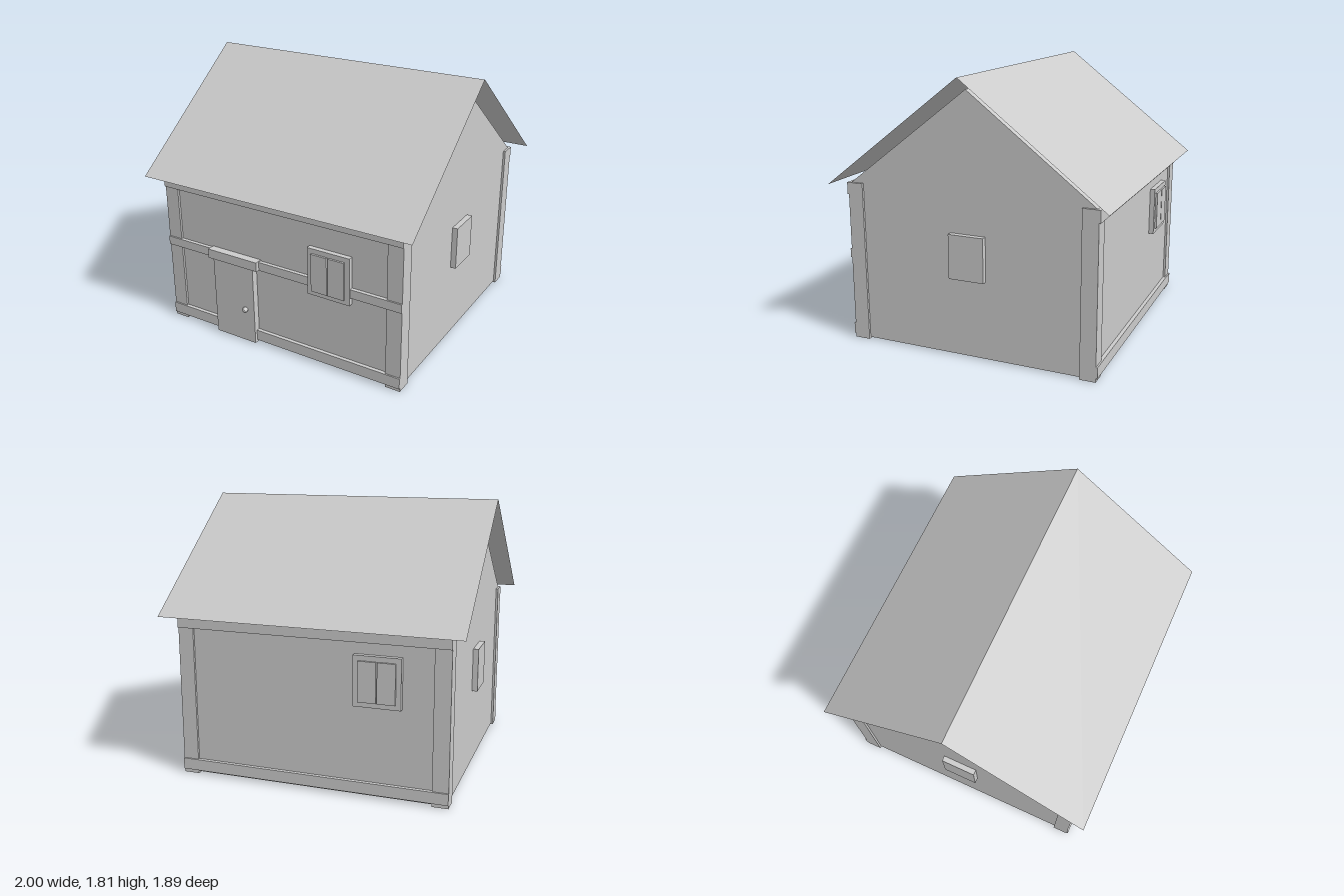
import * as THREE from 'three';

const material = new THREE.MeshStandardMaterial({ color: 0xcccccc, flatShading: true });
const sheetMaterial = new THREE.MeshStandardMaterial({ color: 0xcccccc, flatShading: true, side: THREE.DoubleSide });

// Box given by its limits on each axis
function block(name, [x0, x1], [y0, y1], [z0, z1]) {
  const mesh = new THREE.Mesh(new THREE.BoxGeometry(x1 - x0, y1 - y0, z1 - z0), material);
  mesh.name = name;
  mesh.position.set((x0 + x1) / 2, (y0 + y1) / 2, (z0 + z1) / 2);
  return mesh;
}

// Framed window with two raised shutters, facing +z
function shutteredWindow(name, x, y, z) {
  const win = new THREE.Group();
  win.name = name;
  win.add(block('windowFrame', [-0.153, 0.153], [-0.163, 0.163], [-0.02, 0.033]));
  for (const s of [-1, 1]) {
    const shutter = block('shutter', [-0.058, 0.058], [-0.13, 0.13], [0.03, 0.046]);
    shutter.position.x = s * 0.062;
    win.add(shutter);
  }
  win.position.set(x, y, z);
  return win;
}

export function createModel() {
  const house = new THREE.Group();
  house.name = 'house';
  const wallX = 0.89, wallZ = 0.84, postX = 0.905, postZ = 0.855;

  // Walls with gable ends, one pentagonal prism running along x
  const profile = new THREE.Shape([
    [-wallZ, 0.01], [wallZ, 0.01], [wallZ, 1.08], [0, 1.725], [-wallZ, 1.08],
  ].map(([a, b]) => new THREE.Vector2(a, b)));
  const wallGeometry = new THREE.ExtrudeGeometry(profile, { depth: wallX * 2, bevelEnabled: false });
  wallGeometry.translate(0, 0, -wallX).rotateY(Math.PI / 2);
  const walls = new THREE.Mesh(wallGeometry, material);
  walls.name = 'walls';
  house.add(walls);

  // Thin roof sheets, raised clear of the gables
  const eaveZ = 0.945, eaveY = 1.08, ridgeY = 1.807;
  const slope = Math.hypot(eaveZ, ridgeY - eaveY);
  const pitch = Math.atan2(ridgeY - eaveY, eaveZ);
  for (const s of [-1, 1]) {
    const sheet = new THREE.Mesh(new THREE.PlaneGeometry(2, slope).rotateX(-Math.PI / 2), sheetMaterial);
    sheet.name = s > 0 ? 'frontRoof' : 'backRoof';
    sheet.rotation.x = s * pitch;
    sheet.position.set(0, (eaveY + ridgeY) / 2, s * eaveZ / 2);
    house.add(sheet);
  }

  // Corner posts
  for (const sx of [-1, 1]) for (const sz of [-1, 1]) {
    const post = block('cornerPost', [-0.0525, 0.0525], [0, 1.08], [-0.0525, 0.0525]);
    post.position.x = sx * (postX - 0.0525);
    post.position.z = sz * (postZ - 0.0525);
    house.add(post);
  }

  // Horizontal beams on the long walls
  for (const s of [-1, 1]) {
    const zRange = s > 0 ? [0.82, 0.865] : [-0.865, -0.82];
    house.add(block('bottomBeam', [-postX, postX], [0.025, 0.1], zRange));
    house.add(block('topBeam', [-postX, postX], [1.0, 1.08], zRange));
  }
  house.add(block('middleBeam', [-postX, postX], [0.567, 0.627], [0.82, 0.865]));

  // Door, lintel and knob
  house.add(block('door', [-0.5, -0.178], [0.01, 0.57], [0.82, 0.886]));
  house.add(block('doorLintel', [-0.535, -0.14], [0.57, 0.635], [0.82, 0.894]));
  const knob = new THREE.Mesh(new THREE.IcosahedronGeometry(0.02, 1), material);
  knob.name = 'doorKnob';
  knob.position.set(-0.24, 0.26, 0.905);
  house.add(knob);

  // Windows on the long walls
  house.add(shutteredWindow('frontWindow', 0.398, 0.677, wallZ));
  const backWindow = shutteredWindow('backWindow', -0.45, 0.76, -wallZ);
  backWindow.rotation.y = Math.PI;
  house.add(backWindow);

  // Plain panels on the gable walls
  house.add(block('leftWindow', [0.87, 0.927], [0.53, 0.823], [-0.12, 0.12]));
  house.add(block('rightWindow', [-0.927, -0.87], [0.53, 0.823], [-0.12, 0.12]));
  return house;
}
